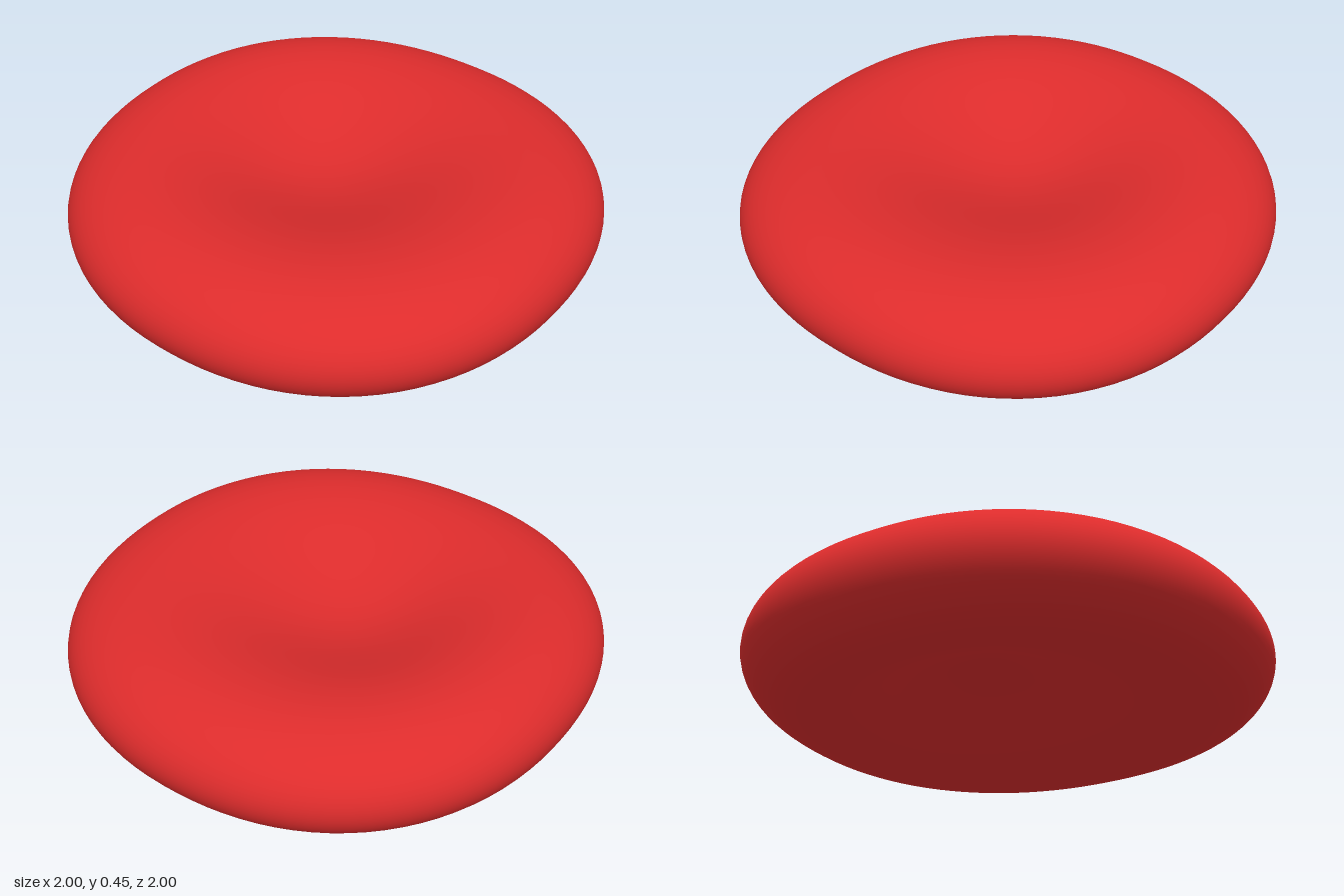
import * as THREE from 'three';
import { mergeVertices } from 'three/addons/utils/BufferGeometryUtils.js';

const CREST = 0.68; // radius at which the rim is thickest

// Half profile of the disc: dimple floor to crest, then a rounded rim; v runs 0..1
function halfProfile(depth) {
  const points = [];
  for (let i = 0; i <= 24; i++) {
    const r = (CREST * i) / 24;
    points.push([r, 1 - depth * 0.5 * (1 + Math.cos((Math.PI * r) / CREST))]);
  }
  for (let i = 1; i <= 16; i++) {
    const a = (i / 16) * Math.PI / 2;
    points.push([CREST + (1 - CREST) * Math.sin(a), Math.cos(a)]);
  }
  return points;
}

function cellGeometry() {
  const bottom = halfProfile(0.72).map(([r, v]) => new THREE.Vector2(r, -v));
  const top = halfProfile(0.66).map(([r, v]) => new THREE.Vector2(r, v)).reverse().slice(1);
  let geometry = new THREE.LatheGeometry([...bottom, ...top], 96);
  geometry.deleteAttribute('uv');
  geometry.deleteAttribute('normal');
  geometry = mergeVertices(geometry, 1e-4);

  const pos = geometry.attributes.position;
  for (let i = 0; i < pos.count; i++) {
    const x = pos.getX(i), v = pos.getY(i), z = pos.getZ(i);
    const r = Math.hypot(x, z);
    const c = r > 0 ? Math.abs(x / r) : 1, s = r > 0 ? Math.abs(z / r) : 0;
    // Slightly squared outline
    const n = 2.15;
    const k = Math.pow(Math.pow(c, n) + Math.pow(s, n), -1 / n);
    // Dimples sit a little towards the back, the lower one more so
    const shift = (v < 0 ? -0.17 : -0.05) * Math.pow(1 - r * r, 2);
    // Gentle warp: front and back of the rim lift above the sides
    const lift = (z < 0 ? 0.024 : 0.012) * z * z;
    const half = 0.216 + 0.006 * z * z;
    pos.setXYZ(i, x * k, 0.222 + lift + half * v, z * k + shift);
  }
  geometry.computeBoundingBox();
  geometry.translate(0, -geometry.boundingBox.min.y, 0);
  geometry.computeVertexNormals();
  return geometry;
}

export function createModel() {
  const group = new THREE.Group();
  group.name = 'bloodCell';
  const body = new THREE.Mesh(cellGeometry(), new THREE.MeshStandardMaterial({ color: 0xdd2c2c }));
  body.name = 'biconcaveBody';
  group.add(body);
  return group;
}
